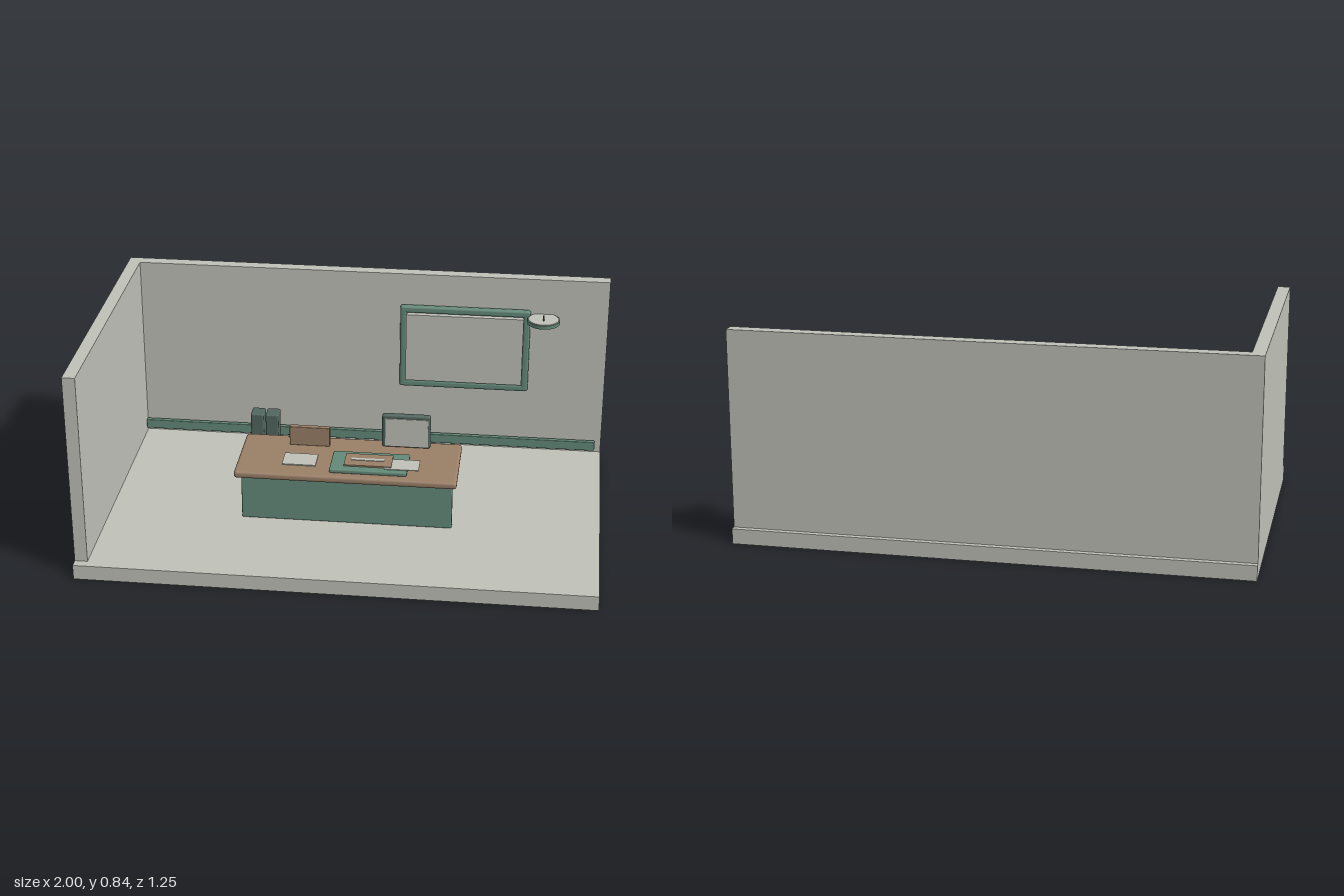
import * as THREE from 'three';
import { RoundedBoxGeometry } from 'three/addons/geometries/RoundedBoxGeometry.js';

export function createModel() {
  const room = new THREE.Group();
  room.name = 'officeRoom';

  const material = (name, color) => {
    const m = new THREE.MeshStandardMaterial({ color });
    m.name = name;
    return m;
  };
  const plaster = material('plaster', 0xc0c1b8);
  const wood = material('wood', 0x9a7f67);
  const green = material('sageGreen', 0x648a79);
  const dark = material('darkSlate', 0x52665f);

  const add = (name, geometry, mat, parent = room) => {
    const mesh = new THREE.Mesh(geometry, mat);
    mesh.name = name;
    parent.add(mesh);
    return mesh;
  };
  // Box given by its extents on each axis; a radius rounds its edges
  const box = (name, mat, [x0, x1], [y0, y1], [z0, z1], radius = 0, parent = room) => {
    const size = [x1 - x0, y1 - y0, z1 - z0];
    const geometry = radius
      ? new RoundedBoxGeometry(...size, 3, radius)
      : new THREE.BoxGeometry(...size);
    const mesh = add(name, geometry, mat, parent);
    mesh.position.set((x0 + x1) / 2, (y0 + y1) / 2, (z0 + z1) / 2);
    return mesh;
  };
  const group = (name) => {
    const g = new THREE.Group();
    g.name = name;
    room.add(g);
    return g;
  };

  // Room shell
  box('floor', plaster, [-1, 1], [0, 0.06], [-0.623, 0.623]);
  box('backWall', plaster, [-1, 1], [0.06, 0.836], [-0.6, -0.549]);
  box('sideWall', plaster, [-1, -0.95], [0.06, 0.836], [-0.549, 0.587]);
  box('wallRail', green, [-0.95, 0.975], [0.077, 0.117], [-0.541, -0.521], 0.003);

  // Desk
  const desk = group('desk');
  box('deskTop', wood, [-0.437, 0.437], [0.267, 0.297], [-0.098, 0.24], 0.012, desk);
  box('frontPanel', green, [-0.418, 0.418], [0.06, 0.267], [0.146, 0.178], 0.006, desk);
  for (const side of [-1, 1]) {
    const x = side * 0.355;
    box('deskLeg', wood, [x - 0.018, x + 0.018], [0.06, 0.267], [-0.047, -0.01], 0.004, desk);
  }

  // Pair of upright blocks with forward feet behind the desk
  const uprights = group('uprightPair');
  for (const x of [-0.412, -0.351]) {
    box('upright', dark, [x - 0.027, x + 0.027], [0.122, 0.33], [-0.268, -0.202], 0.007, uprights);
    box('foot', dark, [x - 0.03, x + 0.03], [0.083, 0.122], [-0.251, -0.147], 0.011, uprights);
  }

  // Monitor and standing board
  const monitor = group('monitor');
  box('monitorCase', dark, [0.119, 0.313], [0.297, 0.442], [-0.059, -0.034], 0.01, monitor);
  box('monitorScreen', plaster, [0.133, 0.304], [0.306, 0.426], [-0.036, -0.031], 0, monitor);
  box('standingBoard', wood, [-0.25, -0.088], [0.297, 0.378], [-0.035, -0.012], 0.003);

  // Desk mat, clipboard and papers
  box('looseSheet', plaster, [-0.257, -0.124], [0.297, 0.301], [0.065, 0.16]);
  box('deskMat', green, [-0.064, 0.24], [0.297, 0.315], [0.05, 0.21], 0.006);
  box('matSheet', plaster, [0.15, 0.285], [0.315, 0.318], [0.105, 0.19]);
  box('clipboard', wood, [-0.01, 0.177], [0.315, 0.321], [0.08, 0.178]);
  box('clipboardStrip', plaster, [0.015, 0.145], [0.321, 0.323], [0.119, 0.136]);

  // Framed wall board
  const board = group('wallBoard');
  const depth = [-0.549, -0.52];
  for (const y of [0.353, 0.688]) {
    box('frameRail', green, [0.144, 0.682], [y - 0.015, y + 0.015], depth, 0.01, board);
  }
  for (const x of [0.159, 0.667]) {
    box('frameStile', green, [x - 0.015, x + 0.015], [0.338, 0.703], depth, 0.01, board);
  }
  box('boardPanel', plaster, [0.17, 0.655], [0.372, 0.67], [-0.535, -0.511], 0, board);

  // Round wall shelf with a small pin
  const shelf = group('roundShelf');
  shelf.position.set(0.736, 0, -0.5);
  add('shelfBase', new THREE.CylinderGeometry(0.067, 0.067, 0.015, 40), green, shelf).position.y = 0.673;
  add('shelfTop', new THREE.CylinderGeometry(0.062, 0.062, 0.004, 40), plaster, shelf).position.y = 0.6815;
  add('shelfPin', new THREE.CylinderGeometry(0.003, 0.003, 0.026, 10), dark, shelf).position.set(0, 0.694, 0.02);

  return room;
}
